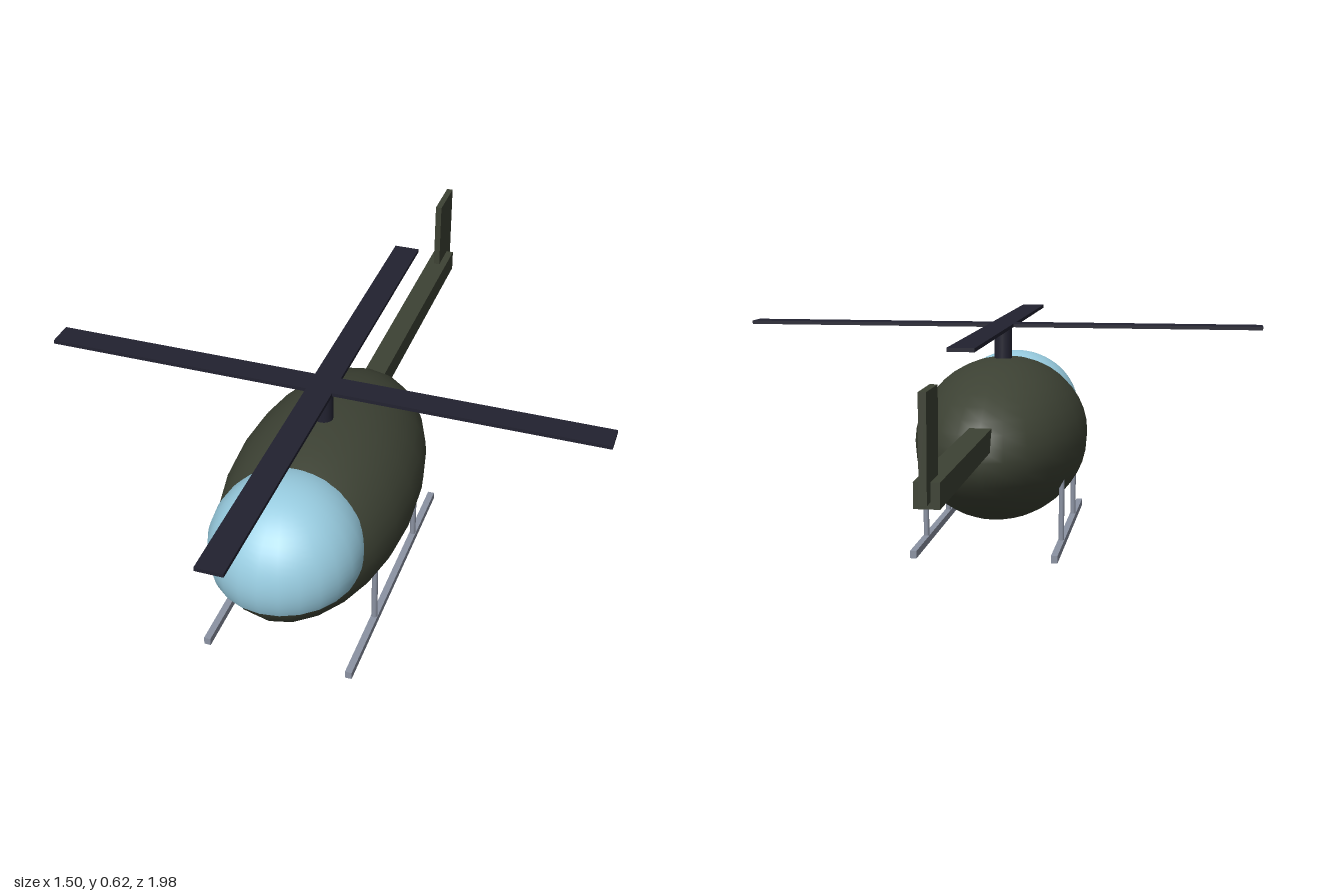
import * as THREE from 'three';

const material = (name, color, extra = {}) => {
  const m = new THREE.MeshStandardMaterial({ color, ...extra });
  m.name = name;
  return m;
};

export function createModel() {
  const olive = material('olive paint', 0x3d4234);
  const glass = material('canopy blue', 0x98cce0, { side: THREE.DoubleSide });
  const dark = material('rotor black', 0x222230);
  const metal = material('skid grey', 0x8c93a3);

  const model = new THREE.Group();
  model.name = 'helicopter';
  const add = (name, geometry, mat, x, y, z) => {
    const mesh = new THREE.Mesh(geometry, mat);
    mesh.name = name;
    mesh.position.set(x, y, z);
    model.add(mesh);
    return mesh;
  };
  const box = (w, h, d) => new THREE.BoxGeometry(w, h, d);
  const midZ = 0.246; // mast and cabin axis

  // Egg-shaped cabin with a canopy bulging through the nose
  add('fuselage', new THREE.SphereGeometry(1, 24, 20), olive, 0, 1.665, midZ)
    .scale.set(0.248, 0.233, 0.478);
  add('canopy', new THREE.SphereGeometry(1, 24, 20, 0, Math.PI * 2, 0, Math.PI * 0.61), glass, 0, 1.7, 0.53)
    .scale.set(0.2, 0.19, 0.212);

  // Tail
  add('tailBoom', box(0.06, 0.06, 0.79), olive, 0, 1.724, -0.55);
  add('tailFin', box(0.018, 0.245, 0.134), olive, 0, 1.833, -0.921);

  // Main rotor
  add('rotorMast', new THREE.CylinderGeometry(0.026, 0.026, 0.13, 16), dark, 0, 1.932, midZ);
  add('rotorBladesAcross', box(1.496, 0.01, 0.07), dark, 0, 1.995, midZ - 0.004);
  add('rotorBladesAlong', box(0.07, 0.01, 1.496), dark, 0, 1.995, midZ);

  // Landing skids, mirrored left and right
  for (const [side, s] of [['left', 1], ['right', -1]]) {
    add(`${side}Skid`, box(0.018, 0.021, 0.774), metal, s * 0.195, 1.39, 0.244);
    for (const [end, z] of [['Front', 0.41], ['Rear', 0.05]]) {
      add(`${side}${end}Strut`, new THREE.CylinderGeometry(0.008, 0.008, 0.2, 10), metal, s * 0.195, 1.49, z);
    }
  }
  return model;
}
